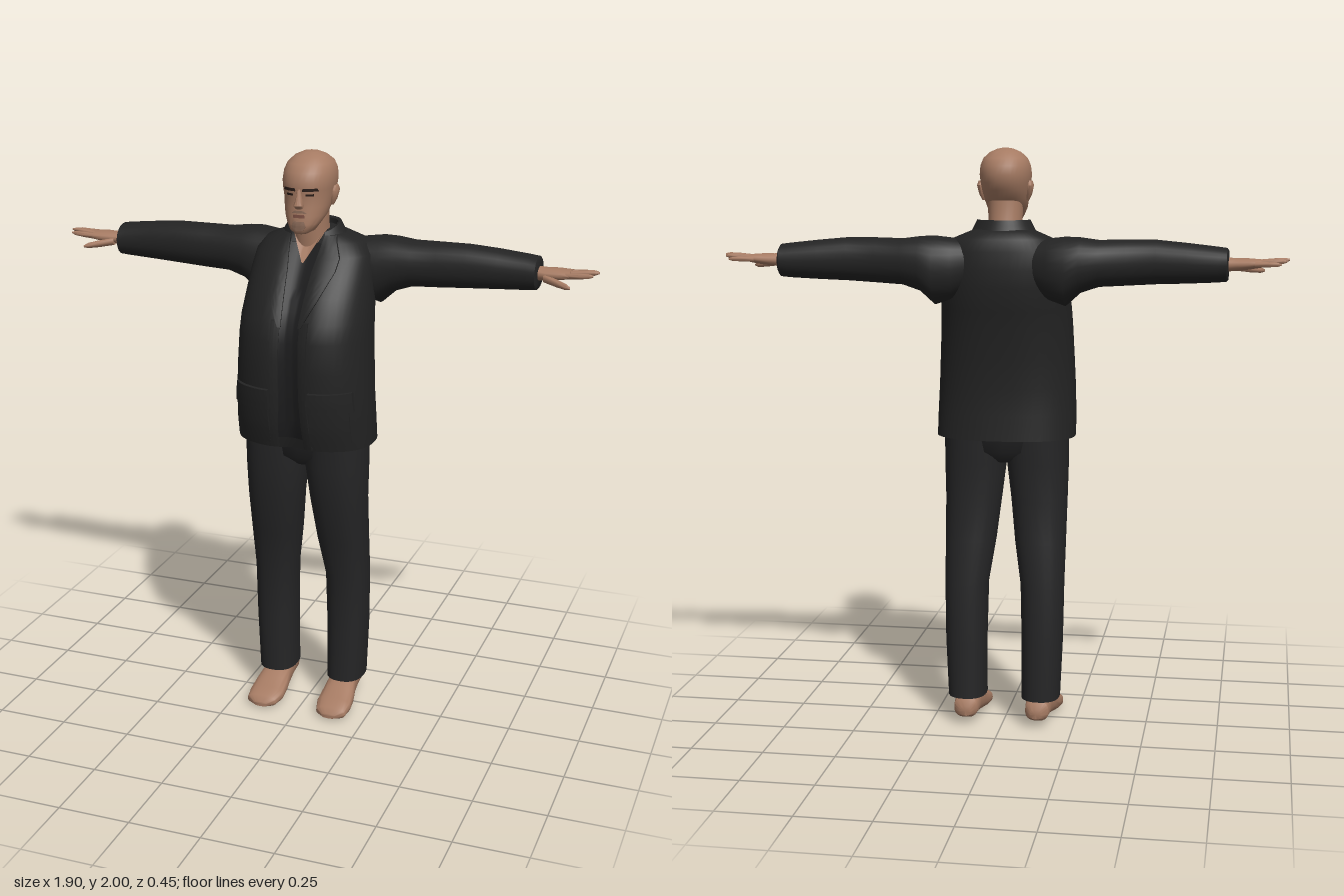
import * as THREE from 'three';
import { toCreasedNormals } from 'three/addons/utils/BufferGeometryUtils.js';

const mat = (name, color) => new THREE.MeshStandardMaterial({ name, color, side: THREE.DoubleSide });
const M = {
  skin: mat('skin', 0xa67b63), jacket: mat('jacket cloth', 0x232323), trousers: mat('trouser cloth', 0x252526),
  shirt: mat('shirt', 0x1d1d1e), hair: mat('brow hair', 0x2a1d18), stubble: mat('stubble', 0x8a6a58), lip: mat('lips', 0x7a4f42),
};

function makeGeo(pos, idx, crease) {
  const g = new THREE.BufferGeometry();
  g.setAttribute('position', new THREE.Float32BufferAttribute(pos, 3));
  g.setIndex(idx);
  return toCreasedNormals(g, crease);
}

const power = (c, e) => Math.sign(c) * Math.abs(c) ** (2 / e);

// Closed loft; each section is [along, u0, u1, v0, v1] on the given axis
function loft(axis, sections, { n = 28, e = 2.2, sx = 1, groove = () => 0, crease = 0.9 } = {}) {
  const pos = [], idx = [];
  const put = (a, u, v) => {
    const p = axis === 'y' ? [u, a, v] : axis === 'x' ? [a, v, u] : [u, v, a];
    pos.push(p[0] * sx, p[1], p[2]);
  };
  for (const [a, u0, u1, v0, v1] of sections) {
    for (let i = 0; i < n; i++) {
      const t = (i / n) * Math.PI * 2, s = Math.sin(t);
      const u = (u0 + u1) / 2 + (u1 - u0) / 2 * power(Math.cos(t), e);
      const v = (v0 + v1) / 2 + (v1 - v0) / 2 * power(s, e);
      put(a, u, s > 0 ? v - groove(u) : v);
    }
  }
  // outward winding depends on the axis and on mirroring
  const flip = (axis === 'z') !== (sx < 0);
  const tri = (a, b, c) => flip ? idx.push(a, c, b) : idx.push(a, b, c);
  const rows = sections.length;
  for (let r = 0; r < rows - 1; r++) for (let i = 0; i < n; i++) {
    const a = r * n + i, b = r * n + (i + 1) % n;
    tri(a, a + n, b); tri(b, a + n, b + n);
  }
  for (const r of [0, rows - 1]) {
    const [a, u0, u1, v0, v1] = sections[r];
    const c = pos.length / 3;
    put(a, (u0 + u1) / 2, (v0 + v1) / 2);
    for (let i = 0; i < n; i++) {
      const p = r * n + i, q = r * n + (i + 1) % n;
      if (r) tri(c, q, p); else tri(c, p, q);
    }
  }
  return makeGeo(pos, idx, crease);
}

// Sections symmetric in x: [y, halfWidth, zBack, zFront]
const sym = list => list.map(([y, r, b, f]) => [y, -r, r, b, f]);

const torso = sym([
  [1.02, .24, -.155, .18], [1.1, .239, -.15, .202], [1.2, .235, -.145, .214], [1.3, .23, -.158, .22],
  [1.4, .225, -.167, .216], [1.46, .222, -.18, .202], [1.54, .215, -.194, .157], [1.6, .21, -.195, .115],
  [1.66, .2, -.19, .068], [1.7, .17, -.18, .036], [1.725, .11, -.15, .02], [1.74, .07, -.12, .01],
]);
const head = sym([
  [1.742, .02, .05, .098], [1.752, .04, .02, .107], [1.775, .055, -.01, .108], [1.8, .068, -.05, .104],
  [1.83, .075, -.085, .102], [1.86, .08, -.108, .099], [1.885, .084, -.12, .103], [1.91, .087, -.125, .103],
  [1.94, .084, -.122, .093], [1.965, .074, -.106, .073], [1.985, .052, -.076, .042], [1.996, .027, -.047, .012], [2, .006, -.025, -.01],
]);
const TORSO = { n: 48, e: 2.45, groove: x => .022 * Math.exp(-((x / .045) ** 2)) };
const HEAD = { n: 36, e: 2.2 };

// Height of a lofted body's front surface
function frontZ(sections, { e, groove = () => 0 }, x, y) {
  let i = 0;
  while (i < sections.length - 2 && sections[i + 1][0] < y) i++;
  const A = sections[i], B = sections[i + 1], k = THREE.MathUtils.clamp((y - A[0]) / (B[0] - A[0]), 0, 1);
  const [, , r, b, f] = A.map((v, j) => v + (B[j] - v) * k);
  const q = Math.max(0, 1 - Math.abs(x / r) ** e) ** (1 / e);
  return (b + f) / 2 + (f - b) / 2 * q - groove(x);
}

// Raised panel hugging a front surface; rows [y, x0, x1] run from top to bottom
function panel(sections, opt, rows, lift, side = 1) {
  const pos = [], idx = [], cols = 8, fine = [];
  rows.forEach((r, i) => {
    if (!i) return fine.push(r);
    for (let k = 1; k <= 4; k++) fine.push(r.map((v, j) => rows[i - 1][j] + (v - rows[i - 1][j]) * k / 4));
  });
  const lines = [fine[0], ...fine, fine[fine.length - 1]];
  lines.forEach(([y, x0, x1], i) => {
    for (let j = -1; j <= cols + 1; j++) {
      const t = THREE.MathUtils.clamp(j / cols, 0, 1);
      const x = side > 0 ? x0 + (x1 - x0) * t : -(x1 + (x0 - x1) * t);
      const edge = i === 0 || i === lines.length - 1 || j < 0 || j > cols;
      pos.push(x, y, frontZ(sections, opt, x, y) + (edge ? -.004 : lift));
    }
  });
  const w = cols + 3;
  for (let i = 0; i < lines.length - 1; i++) for (let j = 0; j < w - 1; j++) {
    const a = i * w + j;
    idx.push(a, a + w, a + 1, a + 1, a + w, a + w + 1);
  }
  return makeGeo(pos, idx, .6);
}

// Stand-up collar, open at the throat
function collarGeo() {
  const pos = [], idx = [], n = 32;
  const prof = [[1.69, .135, .115], [1.715, .115, .1], [1.745, .099, .09], [1.762, .09, .083], [1.757, .08, .074], [1.7, .074, .07]];
  for (const [y, rx, rz] of prof) for (let i = 0; i <= n; i++) {
    const a = THREE.MathUtils.lerp(-.78, .78, i / n) * Math.PI, front = Math.max(0, -Math.cos(a));
    pos.push(rx * Math.sin(a), y - .035 * front, -.05 - rz * Math.cos(a));
  }
  for (let r = 0; r < prof.length - 1; r++) for (let i = 0; i < n; i++) {
    const a = r * (n + 1) + i, b = a + n + 1;
    idx.push(a, b, a + 1, a + 1, b, b + 1);
  }
  return makeGeo(pos, idx, .9);
}

export function createModel() {
  const root = new THREE.Group();
  root.name = 'standingMan';
  const add = (name, geo, material) => {
    const m = new THREE.Mesh(geo, material);
    m.name = name;
    root.add(m);
  };
  const onTorso = (name, rows, lift, material, s) => add(name, panel(torso, TORSO, rows, lift, s), material);
  const onFace = (name, rows, lift, material, s) => add(name, panel(head, HEAD, rows, lift, s), material);

  // Jacket body, collar and shirt opening
  add('jacketBody', loft('y', torso, TORSO), M.jacket);
  add('collar', collarGeo(), M.jacket);
  onTorso('shirtFront', [[1.7, -.055, .055], [1.6, -.045, .045], [1.46, -.035, .035], [1.2, -.035, .035], [1.06, -.045, .045]], .004, M.shirt);
  onTorso('throat', [[1.735, -.05, .05], [1.7, -.035, .035], [1.64, -.003, .003]], .009, M.skin);

  // Head, neck and face
  add('head', loft('y', head, HEAD), M.skin);
  add('neck', loft('y', sym([[1.62, .065, -.12, .03], [1.7, .06, -.105, .035], [1.76, .057, -.085, .045], [1.83, .06, -.08, .05]])), M.skin);
  add('nose', loft('y', sym([[1.89, .007, .08, .106], [1.855, .011, .08, .116], [1.838, .017, .08, .123], [1.827, .013, .08, .113]]), { n: 12 }), M.skin);
  onFace('beard', [[1.785, -.018, .018], [1.77, -.024, .024], [1.755, -.015, .015]], .003, M.stubble);
  onFace('moustache', [[1.82, -.014, .014], [1.812, -.026, .026]], .002, M.stubble);
  onFace('lips', [[1.807, -.018, .018], [1.797, -.02, .02]], .004, M.lip);

  for (const s of [1, -1]) {
    const side = s > 0 ? 'left' : 'right';
    const limb = (name, axis, sec, material, opt = {}) => add(side + name, loft(axis, sec, { sx: s, ...opt }), material);

    // Face details
    onFace(side + 'Eyebrow', [[1.893, .014, .056], [1.884, .012, .06]], .004, M.hair, s);
    onFace(side + 'Eye', [[1.875, .022, .046], [1.868, .022, .046]], .002, M.hair, s);
    limb('Ear', 'y', [[1.825, .07, .08, -.022, -.006], [1.845, .07, .09, -.034, .004], [1.875, .07, .097, -.045, .006], [1.89, .07, .092, -.036, -.002]], M.skin, { n: 12 });

    // Lapel, front edge and pocket
    onTorso(side + 'Lapel', [[1.725, .06, .095], [1.66, .05, .125], [1.62, .043, .12], [1.54, .036, .085], [1.45, .03, .04]], .01, M.jacket, s);
    onTorso(side + 'FrontEdge', [[1.47, .034, .065], [1.2, .036, .062], [1.025, .046, .075]], .007, M.jacket, s);
    onTorso(side + 'Pocket', [[1.2, .075, .195], [1.04, .07, .2]], .008, M.jacket, s);
    onTorso(side + 'PocketFlap', [[1.235, .07, .205], [1.165, .068, .21]], .016, M.jacket, s);

    // Sleeve: [x, zBack, zFront, yLow, yHigh]
    limb('Sleeve', 'x', [
      [.08, -.16, -.04, 1.55, 1.69], [.16, -.205, -.03, 1.5, 1.703], [.22, -.22, -.03, 1.48, 1.71], [.27, -.215, -.035, 1.525, 1.708],
      [.33, -.205, -.045, 1.545, 1.7], [.42, -.188, -.052, 1.55, 1.702], [.52, -.185, -.056, 1.556, 1.702],
      [.62, -.192, -.064, 1.56, 1.693], [.72, -.193, -.068, 1.565, 1.682], [.75, -.194, -.066, 1.568, 1.678], [.755, -.185, -.075, 1.575, 1.67],
    ], M.jacket);

    // Hand with spread fingers
    limb('Palm', 'x', [[.73, -.158, -.095, 1.6, 1.648], [.78, -.16, -.09, 1.603, 1.645], [.82, -.172, -.083, 1.608, 1.645], [.86, -.17, -.085, 1.615, 1.642]], M.skin, { n: 16 });
    const fingers = [
      ['LittleFinger', .84, -.162, 1.627, .925, -.178, 1.628, .009], ['RingFinger', .85, -.14, 1.63, .944, -.149, 1.637, .01],
      ['MiddleFinger', .85, -.118, 1.63, .952, -.122, 1.641, .0105], ['IndexFinger', .845, -.096, 1.628, .938, -.09, 1.636, .01],
      ['Thumb', .775, -.098, 1.615, .872, -.05, 1.6, .013],
    ];
    for (const [name, x0, z0, y0, x1, z1, y1, r] of fingers) {
      limb(name, 'x', [[0, 1], [.5, .95], [.85, .75], [1, .3]].map(([t, k]) => {
        const z = z0 + (z1 - z0) * t, y = y0 + (y1 - y0) * t;
        return [x0 + (x1 - x0) * t, z - r * k, z + r * k, y - r * k, y + r * k];
      }), M.skin, { n: 10 });
    }

    // Trouser leg: [y, xInner, xOuter, zBack, zFront]
    limb('TrouserLeg', 'y', [
      [.095, .063, .197, -.13, .042], [.3, .063, .206, -.126, .041], [.5, .058, .209, -.119, .046], [.65, .035, .211, -.102, .08],
      [.8, .018, .213, -.087, .112], [.93, .002, .216, -.094, .128], [1.06, -.002, .216, -.1, .132],
    ], M.trousers, { e: 2.4 });

    // Shoe: [z, xInner, xOuter, yLow, yHigh]
    limb('Shoe', 'z', [
      [-.135, .105, .145, .035, .07], [-.12, .085, .167, .026, .098], [-.06, .08, .172, .022, .115], [0, .074, .178, .012, .105],
      [.05, .068, .188, .004, .078], [.1, .066, .192, 0, .058], [.145, .078, .186, .002, .042], [.165, .105, .155, .008, .026],
    ], M.skin, { e: 2.6 });
    limb('Ankle', 'y', [[.05, .085, .17, -.11, .01], [.14, .085, .17, -.1, .015]], M.skin);
  }

  // Hips joining the trouser legs
  add('hips', loft('y', sym([[.93, .04, -.06, .08], [.97, .15, -.095, .122], [1.06, .212, -.105, .13]]), { e: 2.5 }), M.trousers);
  return root;
}
